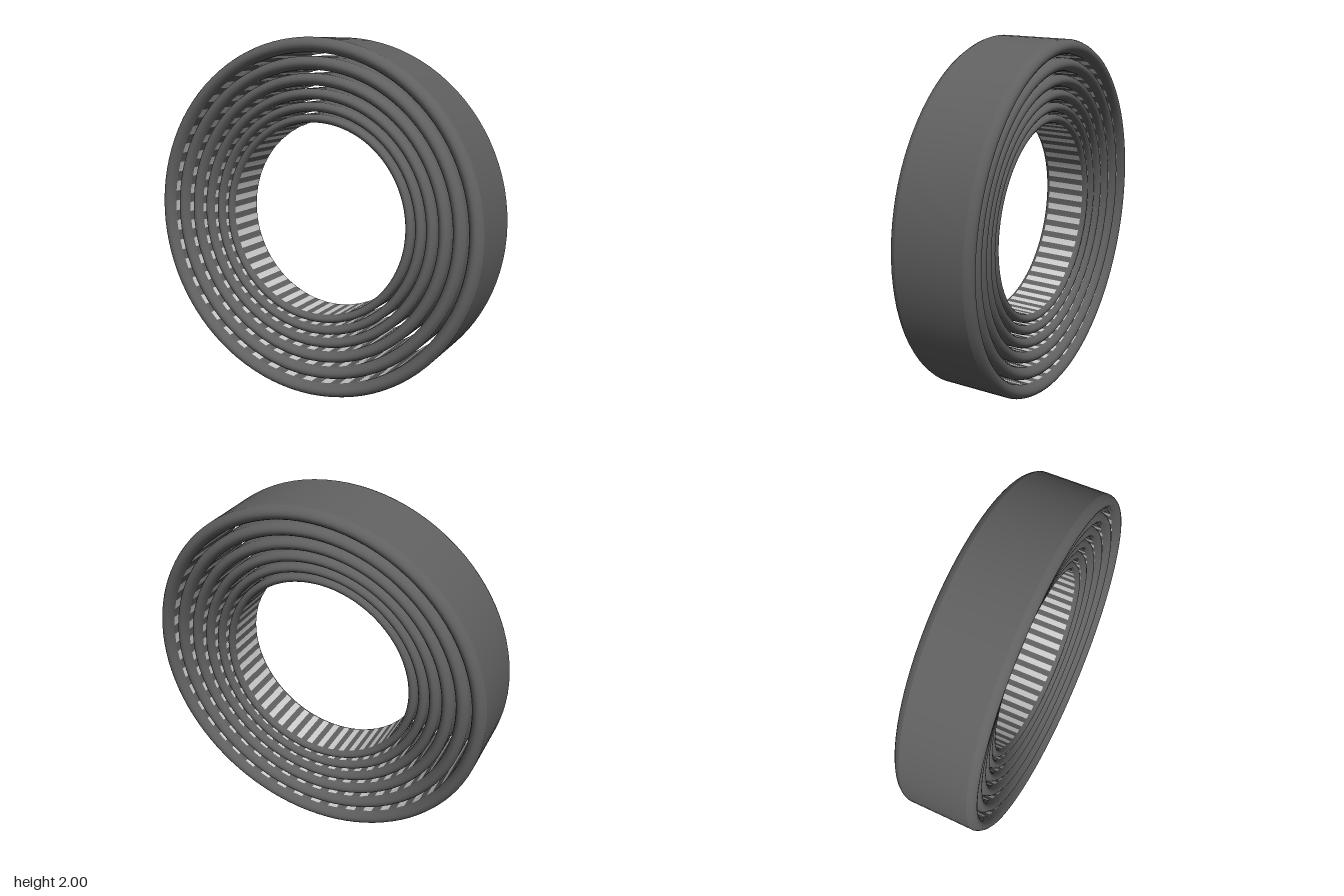
import * as THREE from 'three';
import { mergeGeometries } from 'three/addons/utils/BufferGeometryUtils.js';

const SIDES = 96;
const OUTER = 0.987, INNER = 0.909; // wall radii of the largest ring
const WALL = 0.187;                 // half depth of the straight walls
const v = (r, y) => new THREE.Vector2(r, y);

// Rounded end of the ring section, from the outer wall over to the inner wall
function endProfile() {
  const mid = (OUTER + INNER) / 2, points = [];
  for (let i = 0; i <= 8; i++) {
    const a = THREE.MathUtils.degToRad(25 + (130 * i) / 8);
    points.push(v(mid + 0.043 * Math.cos(a), 0.157 + 0.071 * Math.sin(a)));
  }
  return points;
}

// Ring body: two walls and two rounded ends, kept apart for crisp edges
function bodyGeometry() {
  const front = endProfile();
  const back = front.map((p) => v(p.x, -p.y)).reverse();
  const outerWall = [back[8], front[0]];
  const innerWall = [front[8], back[0]];
  const parts = [outerWall, front, innerWall, back].map((p) => new THREE.LatheGeometry(p, SIDES));
  return mergeGeometries(parts).rotateX(Math.PI / 2);
}

// Pale bars set around the inner wall, one on every second side
function barGeometry() {
  const step = (Math.PI * 2) / SIDES, bars = [];
  for (let i = 0; i < SIDES; i += 2) {
    bars.push(new THREE.LatheGeometry([v(INNER - 0.002, WALL), v(INNER - 0.002, -WALL)], 1, i * step, step));
  }
  return mergeGeometries(bars).rotateX(Math.PI / 2);
}

export function createModel() {
  const model = new THREE.Group();
  model.name = 'nestedRings';
  const dark = new THREE.MeshStandardMaterial({ color: 0x606060 });
  const pale = new THREE.MeshStandardMaterial({ color: 0xcccccc });
  const body = bodyGeometry(), bars = barGeometry();

  // Six concentric rings, each nine tenths the size of the one around it
  for (let i = 0; i < 6; i++) {
    const ring = new THREE.Group();
    ring.name = `ring${i + 1}`;
    const ringBody = new THREE.Mesh(body, dark);
    ringBody.name = 'ringBody';
    const innerBars = new THREE.Mesh(bars, pale);
    innerBars.name = 'innerBars';
    ring.add(ringBody, innerBars);
    ring.scale.setScalar(0.9 ** i);
    model.add(ring);
  }

  // The whole set leans back slightly
  model.rotation.set(THREE.MathUtils.degToRad(-5), -0.009, 0);
  model.position.y = 1;
  const root = new THREE.Group();
  root.name = 'ringSet';
  root.add(model);
  return root;
}
